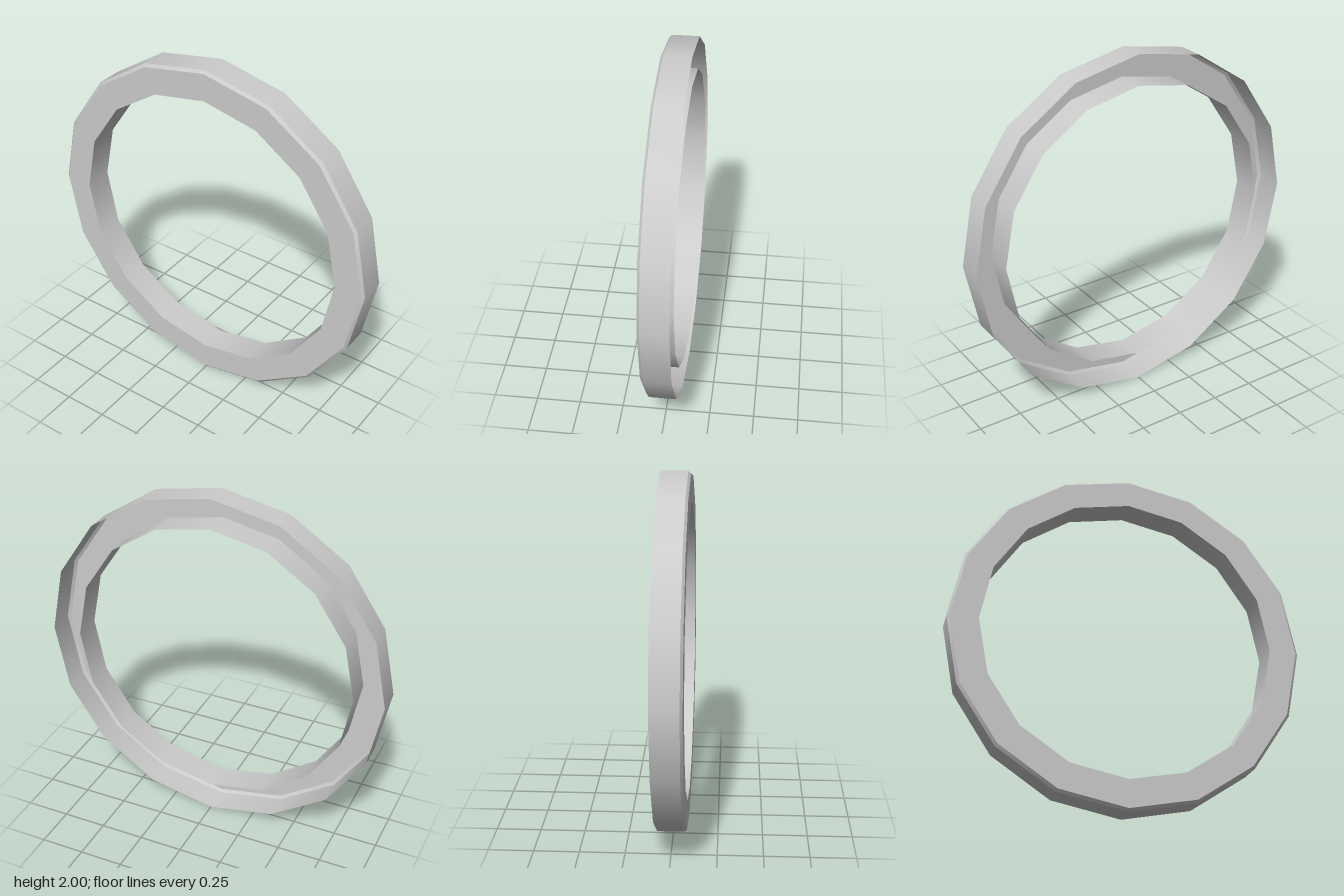
import * as THREE from 'three';

const SIDES = 16;
const HALF_WIDTH = 0.082;
const OUTER = 1, RIM = 0.984, INNER = 0.828, BEVEL_X = -0.068;

export function createModel() {
  const group = new THREE.Group();
  group.name = 'channelRing';

  const lightGrey = new THREE.MeshStandardMaterial({ color: 0xcccccc, side: THREE.DoubleSide });
  lightGrey.name = 'light grey';

  // One thin band of the ring between two [radius, x] points, turned about the x axis.
  // Separate bands keep the edges between them sharp.
  function addBand(name, from, to) {
    const profile = [from, to].map(([r, x]) => new THREE.Vector2(r, x));
    const geometry = new THREE.LatheGeometry(profile, SIDES);
    geometry.rotateZ(-Math.PI / 2);
    const mesh = new THREE.Mesh(geometry, lightGrey);
    mesh.name = name;
    mesh.position.y = OUTER;
    group.add(mesh);
  }

  // U-shaped channel, open towards +x
  addBand('innerWall', [INNER, HALF_WIDTH], [INNER, -HALF_WIDTH]);
  addBand('sideFace', [INNER, -HALF_WIDTH], [RIM, -HALF_WIDTH]);
  addBand('bevel', [RIM, -HALF_WIDTH], [OUTER, BEVEL_X]);
  addBand('outerWall', [OUTER, BEVEL_X], [OUTER, HALF_WIDTH]);

  return group;
}
